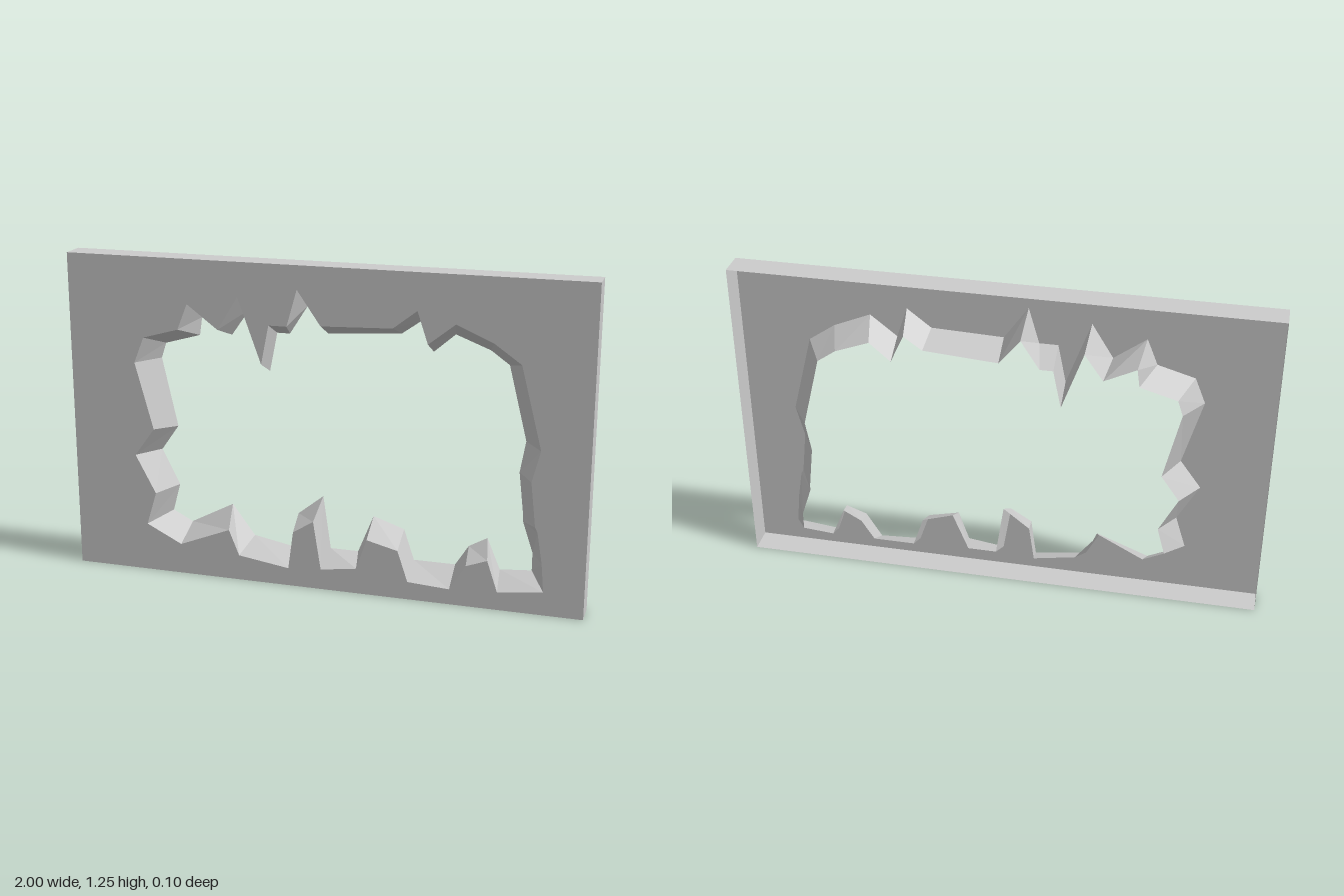
import * as THREE from 'three';

const W = 2, H = 1.25, FRONT = 0.05, BACK = -0.05, LINING_BACK = -0.053;

// Jagged opening at the front plate, clockwise from upper left, in hundredths of a unit
const FRONT_EDGE = [
  -70, 94, -56, 98, -52, 108, -40, 99, -32, 112, -23, 87, -20, 102, -13, 102, -9, 116, 0, 103, 27, 104,
  36, 111, 40, 99, 50, 107, 64, 101, 74, 94, 82, 63, 79, 51, 81, 34, 82, 32, 84, 20, 85, 9,
  68, 7, 64, 19, 56, 16, 50, 6, 34, 7, 30, 19, 18, 22, 14, 10, 0, 8, -3, 27,
  -11, 22, -13, 7, -33, 10, -37, 20, -57, 12, -71, 19, -67, 32, -75, 47, -67, 58, -74, 84,
];
// The same corners where the lining ends at the back
const BACK_EDGE = [
  -65, 90, -51, 94, -50, 101, -38, 95, -31, 105, -23, 82, -20, 97, -15, 97, -8, 108, 0, 98, 28, 100,
  35, 105, 40, 94, 48, 101, 61, 96, 68, 91, 75, 63, 73, 51, 75, 34, 75, 32, 79, 20, 79, 13,
  67, 12, 62, 24, 55, 20, 50, 12, 34, 12, 30, 24, 18, 28, 12, 13, 1, 13, -2, 34,
  -12, 26, -14, 12, -30, 15, -39, 27, -56, 18, -64, 22, -61, 33, -68, 47, -61, 57, -67, 84,
];

function toPoints(list) {
  const points = [];
  for (let i = 0; i < list.length; i += 2) points.push(new THREE.Vector2(list[i] / 100, list[i + 1] / 100));
  return points;
}

// Closed band of flat quads between two matching loops
function band(a, za, b, zb) {
  const pos = [];
  a.forEach((p, i) => {
    const j = (i + 1) % a.length;
    const q = a[j], r = b[j], s = b[i];
    pos.push(p.x, p.y, za, q.x, q.y, za, r.x, r.y, zb);
    pos.push(p.x, p.y, za, r.x, r.y, zb, s.x, s.y, zb);
  });
  const geometry = new THREE.BufferGeometry();
  geometry.setAttribute('position', new THREE.Float32BufferAttribute(pos, 3));
  geometry.computeVertexNormals();
  return geometry;
}

export function createModel() {
  const group = new THREE.Group();
  group.name = 'brokenWallPanel';
  const material = new THREE.MeshStandardMaterial({ color: 0xcccccc, flatShading: true, side: THREE.DoubleSide });
  const add = (name, geometry) => {
    const mesh = new THREE.Mesh(geometry, material);
    mesh.name = name;
    group.add(mesh);
    return mesh;
  };

  const rim = toPoints([-100, 0, 100, 0, 100, H * 100, -100, H * 100]);
  const frontEdge = toPoints(FRONT_EDGE);
  const backEdge = toPoints(BACK_EDGE);

  // Front plate with the jagged opening
  const plate = new THREE.Shape(rim);
  plate.holes.push(new THREE.Path(frontEdge));
  add('frontPlate', new THREE.ShapeGeometry(plate)).position.z = FRONT;

  // Thin outer walls; the back stays open
  add('outerWalls', band(rim, BACK, rim, FRONT));

  // Lining of the opening, narrowing towards the back
  add('openingLining', band(frontEdge, FRONT, backEdge, LINING_BACK));

  return group;
}
